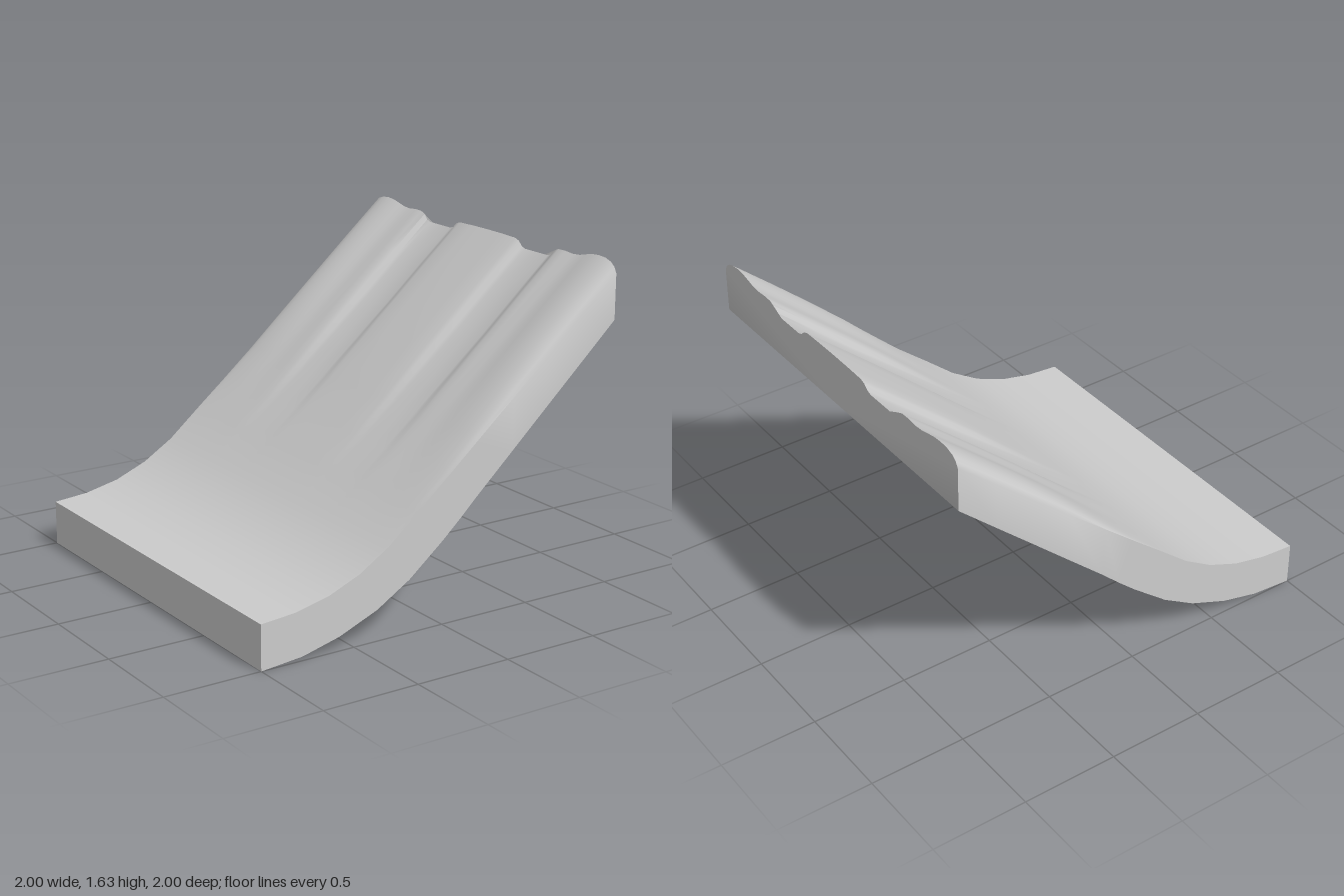
import * as THREE from 'three';
import { toCreasedNormals } from 'three/addons/utils/BufferGeometryUtils.js';

// Stations along the slab: bottom x, bottom y, top x, top y
const STATIONS = [
  [-1, 0, -1, 0.225], [-0.78, 0.02, -0.82, 0.24], [-0.58, 0.07, -0.64, 0.28],
  [-0.37, 0.155, -0.47, 0.35], [-0.19, 0.265, -0.31, 0.45], [0, 0.42, -0.15, 0.585],
  [0.1, 0.51, 0.02, 0.73], [0.2, 0.605, 0.19, 0.885], [0.4, 0.787, 0.4, 1.078],
  [0.6, 0.97, 0.6, 1.255], [0.8, 1.152, 0.8, 1.43], [1, 1.335, 1, 1.602],
];

// Half of the ridge and groove relief: z, height relative to the middle
const RELIEF = [
  [1, -0.04], [0.985, -0.012], [0.96, 0.008], [0.92, 0.021], [0.87, 0.025],
  [0.82, 0.021], [0.77, 0.01], [0.73, 0], [0.68, -0.004], [0.62, 0.001], [0.57, 0],
  [0.54, -0.012], [0.515, -0.037], [0.49, -0.046], [0.4, -0.046], [0.31, -0.046],
  [0.285, -0.037], [0.26, -0.014], [0.23, -0.004], [0.12, -0.001],
];

function slabGeometry() {
  const relief = [...RELIEF, [0, 0], ...RELIEF.map(([z, h]) => [-z, h]).reverse()];
  const n = relief.length + 2;
  const positions = [];
  const index = [];

  // One closed ring per station; the relief fades in up the slope
  for (const [bx, by, tx, ty] of STATIONS) {
    const fade = THREE.MathUtils.smoothstep(tx, -0.15, 0.65);
    for (const [z, h] of relief) positions.push(tx, ty + h * fade, z);
    positions.push(bx, by, -1, bx, by, 1);
  }

  // Skin between the rings
  const last = STATIONS.length - 1;
  for (let i = 0; i < last; i++) {
    for (let j = 0; j < n; j++) {
      const k = (j + 1) % n;
      const a = i * n + j, b = i * n + k, c = a + n, d = b + n;
      index.push(a, c, b, b, c, d);
    }
  }

  // End caps, fanned from the middle of the lower edge
  for (const s of [0, last]) {
    const centre = positions.length / 3;
    positions.push(STATIONS[s][0], STATIONS[s][1], 0);
    for (let j = 0; j < n; j++) {
      if (j === n - 2) continue;
      const a = s * n + j, b = s * n + (j + 1) % n;
      if (s === 0) index.push(centre, a, b);
      else index.push(centre, b, a);
    }
  }

  const geometry = new THREE.BufferGeometry();
  geometry.setAttribute('position', new THREE.Float32BufferAttribute(positions, 3));
  geometry.setIndex(index);
  return toCreasedNormals(geometry, 0.9);
}

export function createModel() {
  const group = new THREE.Group();
  group.name = 'curvedRamp';
  const grey = new THREE.MeshStandardMaterial({ color: 0xcccccc });
  grey.name = 'lightGrey';
  const slab = new THREE.Mesh(slabGeometry(), grey);
  slab.name = 'groovedSlab';
  group.add(slab);
  return group;
}
